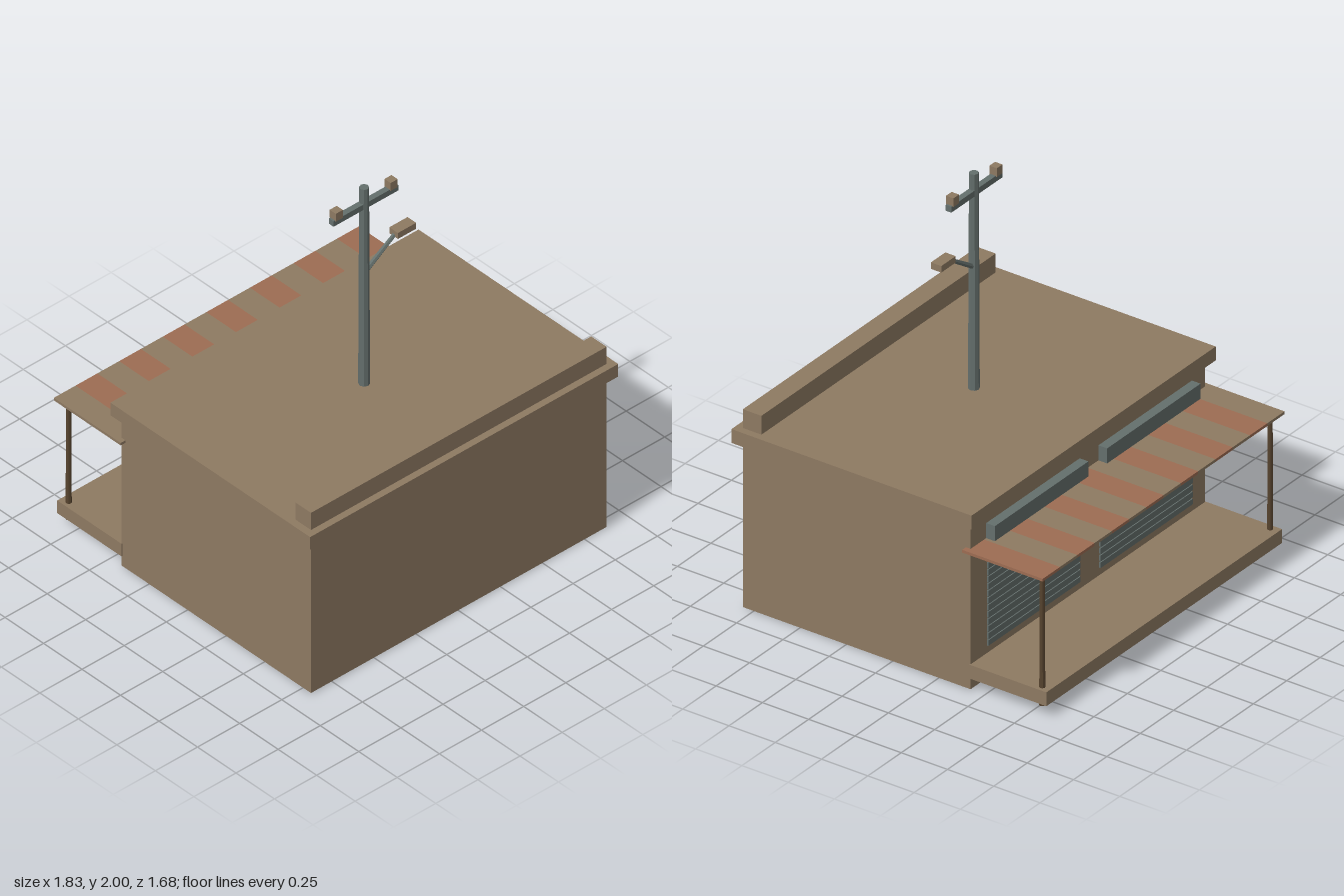
import * as THREE from 'three';

const mat = (name, color) => {
  const m = new THREE.MeshStandardMaterial({ color });
  m.name = name;
  return m;
};

export function createModel() {
  const tan = mat('tan plaster', 0x8e7a62);
  const red = mat('rust stripe', 0x9d6c52);
  const grey = mat('weathered grey', 0x646f6c);
  const brown = mat('dark brown', 0x57442f);
  const model = new THREE.Group();
  model.name = 'shop';

  const add = (name, geometry, material, parent = model) => {
    const mesh = new THREE.Mesh(geometry, material);
    mesh.name = name;
    parent.add(mesh);
    return mesh;
  };
  // Box given by its extents on each axis
  const box = (name, material, [x0, x1], [y0, y1], [z0, z1], parent) => {
    const mesh = add(name, new THREE.BoxGeometry(x1 - x0, y1 - y0, z1 - z0), material, parent);
    mesh.position.set((x0 + x1) / 2, (y0 + y1) / 2, (z0 + z1) / 2);
    return mesh;
  };
  // Faceted tapered rod between two points
  const rod = (name, material, from, to, r0, r1, sides, parent) => {
    const a = new THREE.Vector3(...from), b = new THREE.Vector3(...to);
    const dir = b.clone().sub(a);
    const geometry = new THREE.CylinderGeometry(r1, r0, dir.length(), sides).toNonIndexed();
    geometry.computeVertexNormals();
    const mesh = add(name, geometry, material, parent);
    mesh.position.copy(a).add(b).multiplyScalar(0.5);
    mesh.quaternion.setFromUnitVectors(new THREE.Vector3(0, 1, 0), dir.normalize());
    return mesh;
  };

  // Building
  box('walls', tan, [-0.877, 0.877], [0.004, 0.84], [-0.425, 0.805]);
  box('roofSlab', tan, [-0.914, 0.914], [0.84, 0.91], [-0.457, 0.84]);
  box('parapet', tan, [-0.877, 0.877], [0.91, 1.005], [0.705, 0.805]);
  box('porchFloor', tan, [-0.882, 0.882], [0.06, 0.13], [-0.838, -0.42]);

  // Striped awning
  const awning = new THREE.Group();
  awning.name = 'awning';
  model.add(awning);
  const stripes = 14, width = 1.81 / stripes;
  for (let i = 0; i < stripes; i++) {
    const x = -0.905 + i * width;
    box('awningStripe', i % 2 ? red : tan, [x, x + width], [0.7, 0.714], [-0.835, -0.4], awning);
  }

  // Awning posts
  for (const x of [-0.853, 0.853]) {
    rod('awningPost', brown, [x, 0.04, -0.795], [x, 0.702, -0.795], 0.014, 0.011, 8);
  }

  // Roller shutters with their housings
  for (const x of [-0.43, 0.41]) {
    const shutter = new THREE.Group();
    shutter.name = 'shutter';
    model.add(shutter);
    box('shutterHousing', grey, [x - 0.35, x + 0.35], [0.685, 0.79], [-0.472, -0.42], shutter);
    box('shutterPanel', grey, [x - 0.34, x + 0.34], [0.165, 0.665], [-0.428, -0.42], shutter);
    const slats = 14, pitch = 0.5 / slats;
    for (let i = 0; i < slats; i++) {
      const y = 0.165 + i * pitch;
      box('shutterSlat', grey, [x - 0.345, x + 0.345], [y + 0.004, y + pitch - 0.004], [-0.433, -0.424], shutter);
    }
  }

  // Utility pole
  const pole = new THREE.Group();
  pole.name = 'utilityPole';
  pole.position.z = 0.19;
  model.add(pole);
  rod('poleShaft', grey, [0, 0, 0], [0, 2, 0], 0.03, 0.022, 8, pole);
  box('crossarm', grey, [-0.195, 0.19], [1.89, 1.92], [-0.015, 0.015], pole);
  for (const x of [-0.165, 0.16]) {
    box('insulator', tan, [x - 0.021, x + 0.021], [1.916, 1.96], [-0.02, 0.02], pole);
  }
  rod('lampArm', grey, [0.01, 1.53, 0], [0.2, 1.655, 0], 0.013, 0.01, 6, pole);
  box('lampHead', tan, [0.175, 0.283], [1.635, 1.668], [-0.028, 0.028], pole);

  return model;
}
